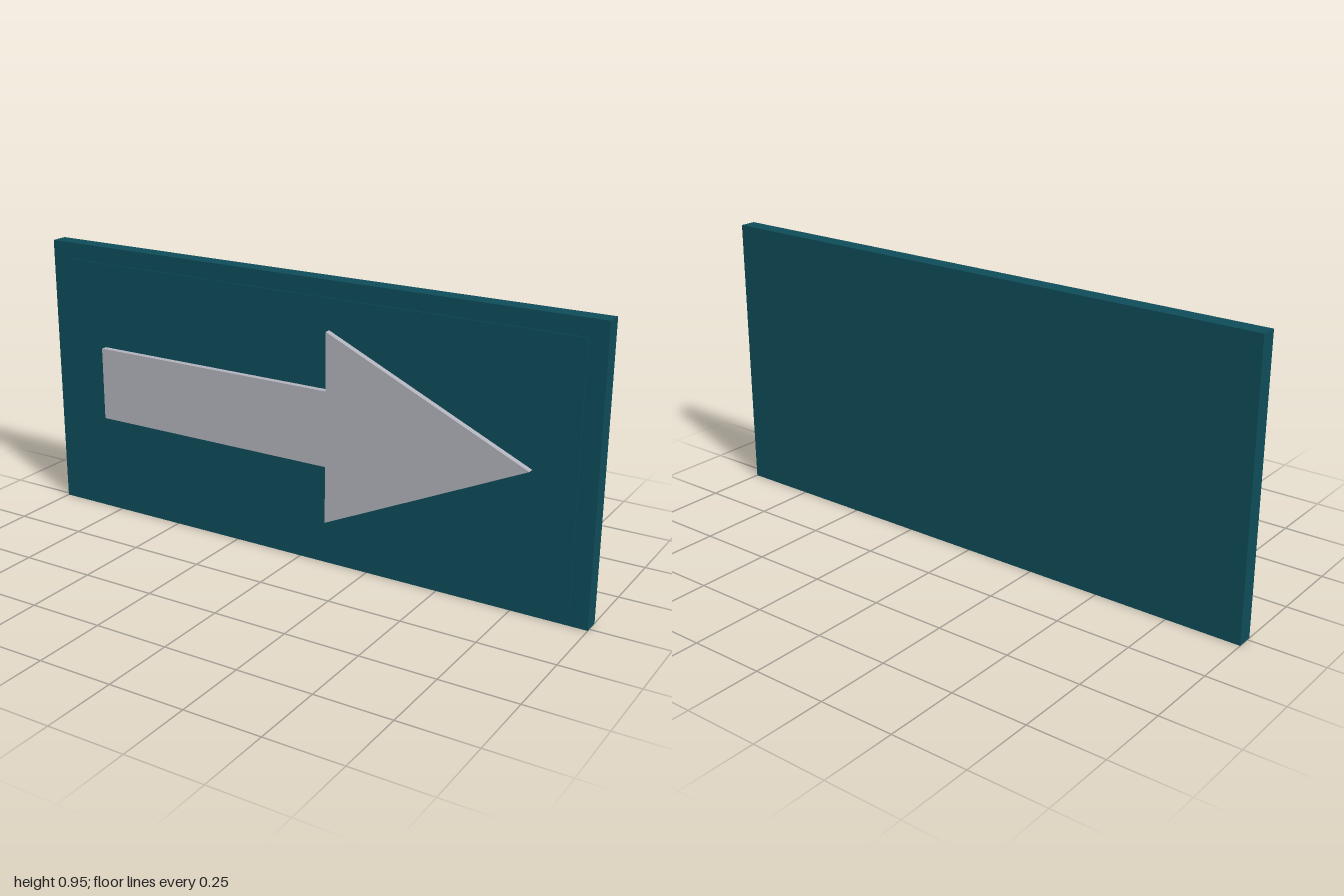
import * as THREE from 'three';

export function createModel() {
  const teal = new THREE.MeshStandardMaterial({ color: 0x0e4c59 });
  teal.name = 'dark teal';
  const grey = new THREE.MeshStandardMaterial({ color: 0xb0b1ba });
  grey.name = 'light grey';

  const sign = new THREE.Group();
  sign.name = 'arrowSign';
  const midY = 0.473;

  // Adds a part centred on the sign's mid height, with its back at the given z
  const add = (name, geometry, material, z) => {
    const mesh = new THREE.Mesh(geometry, material);
    mesh.name = name;
    mesh.position.set(0, midY, z);
    sign.add(mesh);
  };

  // Backing board and the slightly raised front panel
  const slab = (w, h, d) => new THREE.BoxGeometry(w, h, d).translate(0, 0, d / 2);
  add('board', slab(2, 2 * midY, 0.056), teal, -0.044);
  add('frontPanel', slab(1.88, 0.834, 0.004), teal, 0.011);

  // Arrow plate, standing just clear of the panel
  const shaft = 0.126, head = 0.318, neck = 0.113, tail = -0.78, tip = 0.802;
  const outline = new THREE.Shape([
    [tail, -shaft], [neck, -shaft], [neck, -head], [tip, 0],
    [neck, head], [neck, shaft], [tail, shaft],
  ].map(([x, y]) => new THREE.Vector2(x, y)));
  add('arrow', new THREE.ExtrudeGeometry(outline, { depth: 0.021, bevelEnabled: false }), grey, 0.024);

  return sign;
}
